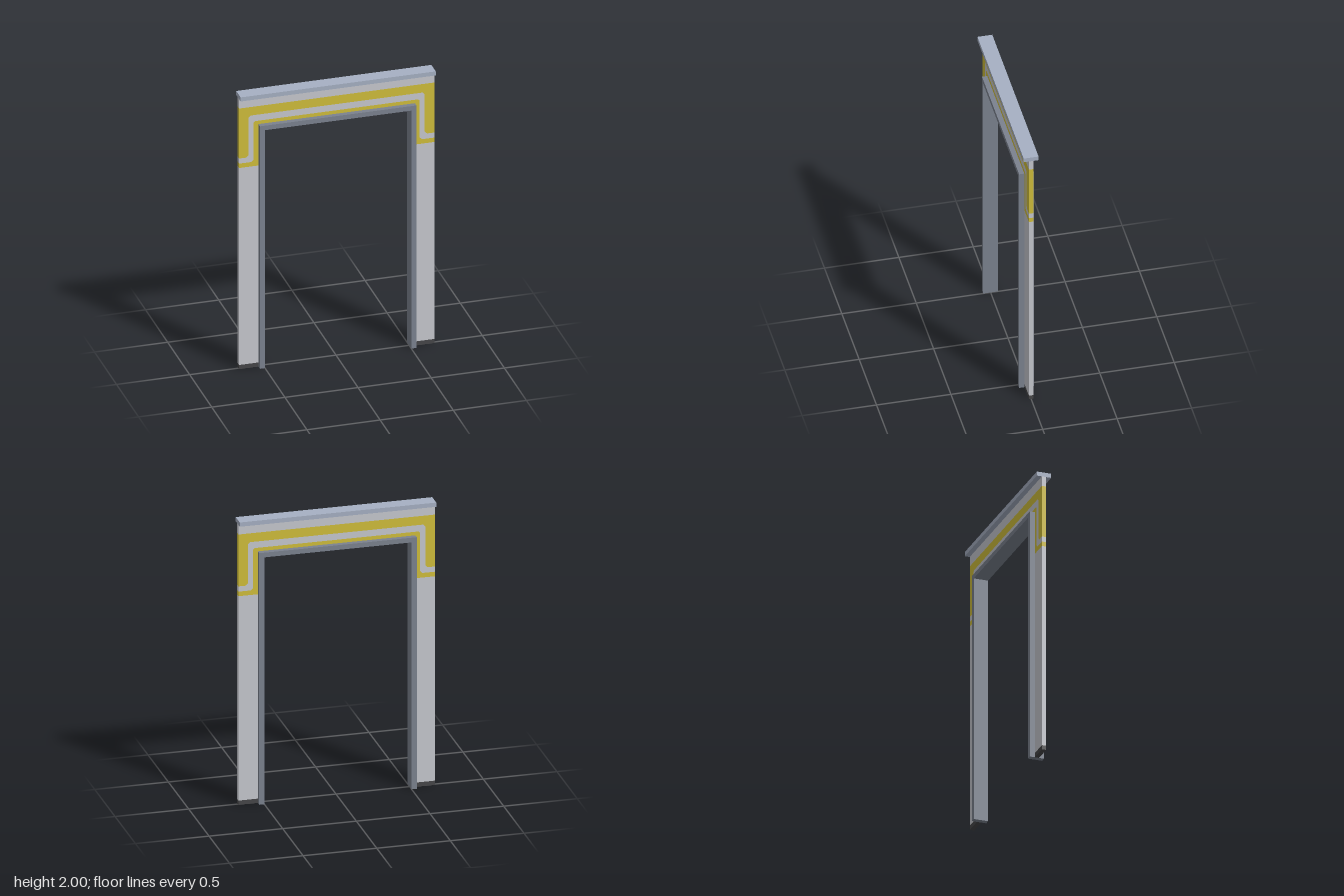
import * as THREE from 'three';

const material = (name, color) => {
  const m = new THREE.MeshStandardMaterial({ color });
  m.name = name;
  return m;
};

export function createModel() {
  const group = new THREE.Group();
  const wallGrey = material('light grey', 0xc6c8ce);
  const yellow = material('yellow', 0xcfbd3a);
  const steel = material('blue grey steel', 0xa6b0c3);
  const frameGrey = material('dark frame grey', 0x7b828f);
  const black = material('charcoal', 0x464648);

  const W = 0.667, J = 0.535, T = 0.03, D = 0.1; // half width, frame outer edge, wall and frame depth

  const add = (name, geometry, mat, x = 0, y = 0, z = 0) => {
    const mesh = new THREE.Mesh(geometry, mat);
    mesh.name = name;
    mesh.position.set(x, y, z);
    group.add(mesh);
  };

  // Symmetric band between two lines, each given from the +x end to the middle
  const mirrorLine = (line) => [...line, ...line.map(([x, y]) => [-x, y]).reverse()];
  const band = (name, upper, lower, depth, mat) => {
    const points = [...mirrorLine(upper), ...mirrorLine(lower).reverse()];
    const shape = new THREE.Shape(points.map(([x, y]) => new THREE.Vector2(x, y)));
    const geometry = new THREE.ExtrudeGeometry(shape, { depth, bevelEnabled: false });
    add(name, geometry, mat, 0, 0, -depth / 2);
  };

  // Edges of the painted stripe, with clipped corners
  const stripeOuter = [[W, 1.537], [0.618, 1.537], [0.602, 1.553], [0.602, 1.826], [0.588, 1.84]];
  const stripeInner = [[W, 1.5], [0.583, 1.5], [0.567, 1.516], [0.567, 1.785], [0.557, 1.795]];
  const doorEdge = [[W, 1.468], [J, 1.468], [J, 1.77]];

  // Wall bands, from the top down
  band('upperWall', [[W, 1.97]], [[W, 1.902]], T, wallGrey);
  band('outerYellowBand', [[W, 1.902]], stripeOuter, T, yellow);
  band('greyStripe', stripeOuter, stripeInner, T, wallGrey);
  band('innerYellowBand', stripeInner, doorEdge, T, yellow);

  // Wall legs and their dark feet
  for (const [side, s] of [['left', 1], ['right', -1]]) {
    const x = s * (W + J) / 2;
    add(side + 'Wall', new THREE.BoxGeometry(W - J, 1.438, T), wallGrey, x, 0.749);
    add(side + 'Foot', new THREE.BoxGeometry(W - J, 0.03, T), black, x, 0.015);
  }

  // Door frame and top rail
  band('doorFrame', [[J, 0], [J, 1.77]], [[0.5, 0], [0.5, 1.737]], D, frameGrey);
  add('topRail', new THREE.BoxGeometry(2 * W, 0.03, D), steel, 0, 1.985);

  return group;
}
